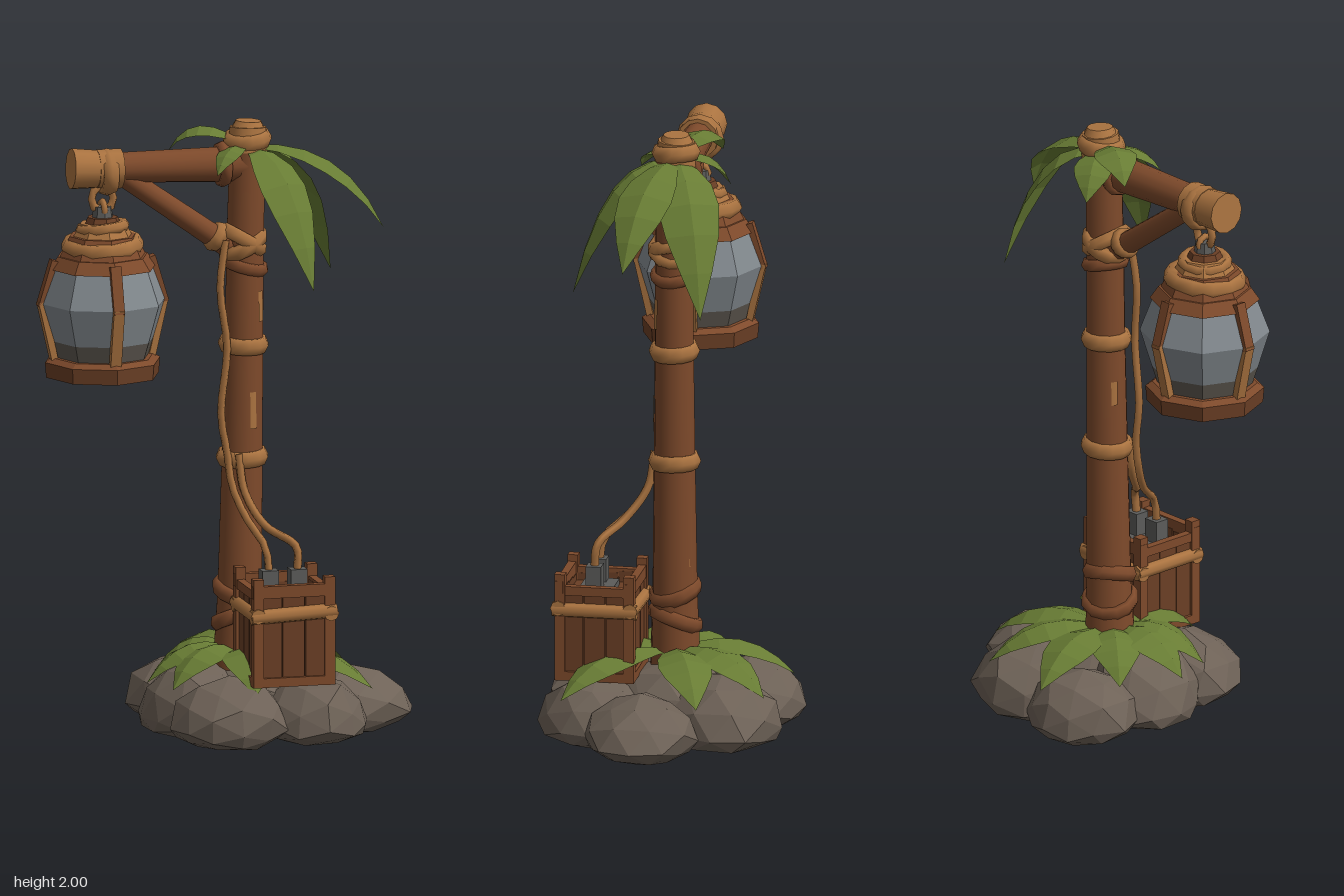
import * as THREE from 'three';

const mat = (name, color, flatShading = false) =>
  Object.assign(new THREE.MeshStandardMaterial({ color, flatShading }), { name });
const wood = mat('wood', 0x7e4a2b);
const darkWood = mat('dark wood', 0x6b3f25);
const rope = mat('rope', 0xaa7340);
const rock = mat('rock', 0x6e6257, true);
const glass = mat('glass', 0x82898e, true);
const grime = mat('grimy glass', 0x5e5850, true);
const metal = mat('metal', 0x5c5c5a);
const leafMat = mat('leaf', 0x687c34, true);
leafMat.side = THREE.DoubleSide;

const V = (x, y, z) => new THREE.Vector3(x, y, z);
const UP = V(0, 1, 0);

function add(parent, name, geo, material, x = 0, y = 0, z = 0) {
  const m = new THREE.Mesh(geo, material);
  m.name = name;
  m.position.set(x, y, z);
  parent.add(m);
  return m;
}

const box = (p, name, w, h, d, m, x, y, z) => add(p, name, new THREE.BoxGeometry(w, h, d), m, x, y, z);

// place a y-aligned geometry between two points
function span(p, name, a, b, makeGeo, m) {
  const d = b.clone().sub(a);
  const mesh = add(p, name, makeGeo(d.length()), m);
  mesh.position.copy(a).addScaledVector(d, 0.5);
  mesh.quaternion.setFromUnitVectors(UP, d.normalize());
  return mesh;
}
const limb = (p, name, a, b, ra, rb, m, sides = 12) =>
  span(p, name, a, b, (len) => new THREE.CylinderGeometry(rb, ra, len, sides), m);
const beam = (p, name, a, b, w, d, m) =>
  span(p, name, a, b, (len) => new THREE.BoxGeometry(w, len, d), m);

// rope ring around an upright axis, tilted as needed
function ring(p, name, r, tube, tall, m, x, y, z, tiltX = 0, tiltZ = 0, sides = 12) {
  const g = new THREE.TorusGeometry(r, tube, 6, sides).rotateX(Math.PI / 2).scale(1, tall, 1);
  const mesh = add(p, name, g, m, x, y, z);
  mesh.rotation.set(tiltX, 0, tiltZ);
  return mesh;
}

const cable = (p, name, pts, r, m) =>
  add(p, name, new THREE.TubeGeometry(new THREE.CatmullRomCurve3(pts.map((q) => V(...q))), 22, r, 5), m);

// jagged boulder, squashed underneath
function boulder(p, cx, cz, rx, top, rz, seed) {
  const g = new THREE.IcosahedronGeometry(1, 1);
  const a = g.attributes.position;
  for (let i = 0; i < a.count; i++) {
    const v = V(a.getX(i), a.getY(i), a.getZ(i));
    const k = Math.round(v.x * 50) * 12.99 + Math.round(v.y * 50) * 78.23 + Math.round(v.z * 50) * 37.72 + seed;
    const h = Math.sin(k) * 43758.5;
    v.multiplyScalar(0.93 + 0.16 * (h - Math.floor(h)));
    a.setXYZ(i, v.x * rx, Math.max(0, 0.06 + v.y * (v.y > 0 ? top - 0.06 : 0.075)), v.z * rz);
  }
  g.computeVertexNormals();
  add(p, 'boulder', g, rock, cx, 0, cz);
}

// arching leaf folded along its midrib
function leaf(p, name, base, tip, rise, half, bend) {
  const mid = base.clone().lerp(tip, bend).setY(Math.max(base.y, tip.y) + rise);
  const curve = new THREE.QuadraticBezierCurve3(base, mid, tip);
  const side = tip.clone().sub(base).setY(0).normalize().cross(UP);
  const n = 6, pos = [], idx = [];
  for (let i = 0; i <= n; i++) {
    const t = i / n, c = curve.getPoint(t);
    const normal = side.clone().cross(curve.getTangent(t));
    const w = half * (0.15 * (1 - t) + Math.sin(Math.PI * Math.pow(t, 1.05)));
    for (const s of [-1, 0, 1]) {
      const q = c.clone().addScaledVector(side, s * w).addScaledVector(normal, s ? -0.3 * w : 0);
      pos.push(q.x, q.y, q.z);
    }
    if (i < n) for (const j of [0, 1]) {
      const k = i * 3 + j;
      idx.push(k, k + 1, k + 3, k + 1, k + 4, k + 3);
    }
  }
  const g = new THREE.BufferGeometry();
  g.setAttribute('position', new THREE.Float32BufferAttribute(pos, 3));
  g.setIndex(idx);
  g.computeVertexNormals();
  add(p, name, g, leafMat);
}

function group(parent, name) {
  const g = new THREE.Group();
  g.name = name;
  parent.add(g);
  return g;
}

function buildLantern(root) {
  const L = group(root, 'lantern');
  L.position.set(-0.4, 0, -0.01);
  // faceted eight-sided sections
  const cyl = (name, rb, rt, y0, y1, m) => {
    const g = new THREE.CylinderGeometry(rt, rb, y1 - y0, 8).toNonIndexed();
    g.computeVertexNormals();
    add(L, name, g, m, 0, (y0 + y1) / 2, 0);
  };
  cyl('lanternBase', 0.188, 0.192, 1.19, 1.24, darkWood);
  cyl('lanternBaseRim', 0.192, 0.17, 1.24, 1.255, wood);
  cyl('grimyGlass', 0.153, 0.172, 1.25, 1.31, grime);
  cyl('lowerGlass', 0.172, 0.21, 1.31, 1.435, glass);
  cyl('upperGlass', 0.21, 0.165, 1.435, 1.555, glass);
  cyl('lanternCollar', 0.178, 0.15, 1.545, 1.585, wood);
  cyl('lanternRoof', 0.145, 0.11, 1.58, 1.65, wood);
  ring(L, 'roofRope', 0.106, 0.031, 1, rope, 0, 1.617, 0, 0.05, 0.05);
  cyl('lanternCrown', 0.105, 0.075, 1.635, 1.69, rope);
  ring(L, 'crownRope', 0.07, 0.02, 1, rope, 0, 1.675, 0, -0.08, 0.1);
  cyl('lanternCrownTop', 0.06, 0.05, 1.685, 1.71, darkWood);
  cyl('lanternCap', 0.036, 0.03, 1.7, 1.745, metal);
  // four frame ribs following the glass
  for (let i = 0; i < 4; i++) {
    const r = group(L, 'rib');
    r.rotation.y = i * Math.PI / 2;
    beam(r, 'ribLower', V(0.158, 1.23, 0), V(0.206, 1.44, 0), 0.022, 0.036, rope);
    beam(r, 'ribUpper', V(0.207, 1.425, 0), V(0.162, 1.575, 0), 0.022, 0.036, wood);
  }
  // hanging loops
  const loop = add(L, 'hangingLoop', new THREE.TorusGeometry(0.036, 0.013, 6, 10), rope, 0, 1.77, 0);
  loop.scale.y = 1.2;
  add(L, 'hangingLink', new THREE.TorusGeometry(0.026, 0.011, 6, 8).rotateY(Math.PI / 2), rope, 0, 1.735, 0);
}

function buildCrate(root) {
  const C = group(root, 'crate');
  C.position.set(0.147, 0, 0.215);
  box(C, 'crateCore', 0.22, 0.26, 0.21, darkWood, 0, 0.345, 0);
  box(C, 'batteryTop', 0.13, 0.02, 0.11, metal, -0.01, 0.485, 0.01);
  for (const s of [-1, 1]) {
    // plank walls, uneven along the top
    for (const i of [-1, 0, 1]) {
      box(C, 'wallPlank', 0.072, 0.28, 0.02, darkWood, i * 0.076, 0.365 + 0.006 * i, s * 0.11);
      box(C, 'sidePlank', 0.02, 0.28, 0.068, darkWood, s * 0.116, 0.365 - 0.006 * i, i * 0.072);
    }
    for (const t of [-1, 1]) box(C, 'cornerPost', 0.034, 0.355, 0.034, wood, s * 0.119, 0.382, t * 0.113);
    // rim, footing and rope band
    box(C, 'topRim', 0.275, 0.04, 0.026, wood, 0, 0.517, s * 0.115);
    box(C, 'topSideRim', 0.026, 0.03, 0.24, wood, s * 0.12, 0.505, 0);
    box(C, 'footing', 0.27, 0.03, 0.03, wood, 0, 0.22, s * 0.115);
    box(C, 'sideFooting', 0.03, 0.03, 0.25, wood, s * 0.121, 0.22, 0);
    limb(C, 'bandRope', V(-0.142, 0.435, s * 0.118), V(0.142, 0.447, s * 0.118), 0.025, 0.025, rope, 8);
    limb(C, 'sideBandRope', V(s * 0.122, 0.44, -0.138), V(s * 0.122, 0.44, 0.138), 0.025, 0.025, rope, 8);
  }
  for (const x of [-0.055, 0.04]) box(C, 'terminal', 0.055, 0.08, 0.05, metal, x, 0.53, 0.015);
}

export function createModel() {
  const root = new THREE.Group();
  root.name = 'palmLanternPost';

  // rocky base
  const rocks = group(root, 'rocks');
  [[-0.07, -0.235, 0.18, 0.22, 0.19], [-0.09, 0, 0.19, 0.235, 0.2], [-0.04, 0.23, 0.19, 0.215, 0.19],
    [0.2, -0.19, 0.22, 0.225, 0.2], [0.4, 0.04, 0.205, 0.2, 0.185], [0.25, 0.21, 0.18, 0.215, 0.19],
    [0.1, 0, 0.23, 0.25, 0.22]].forEach((b, i) => boulder(rocks, ...b, i * 1.7));

  // post in gently leaning lengths
  const post = group(root, 'post');
  const joints = [[0.05, 0.18, 0.084], [0.058, 0.45, 0.074], [0.066, 0.9, 0.068], [0.072, 1.27, 0.064],
    [0.076, 1.6, 0.062], [0.085, 1.95, 0.06]];
  for (let i = 0; i < joints.length - 1; i++) {
    const [ax, ay, ar] = joints[i], [bx, by, br] = joints[i + 1];
    limb(post, 'postLength', V(ax, ay, -0.01), V(bx, by, -0.01), ar, br, wood);
  }
  // pale scuffs in the bark: height, length, heading
  for (const [y, len, turn] of [[1.06, 0.12, 0.1], [1.4, 0.1, 0.5], [0.72, 0.1, 3.6], [0.62, 0.13, 2.5], [1.1, 0.08, 4.2]]) {
    const g = new THREE.CylinderGeometry(0.067, 0.0695, len, 2, 1, true, turn, 0.32);
    add(post, 'barkScuff', g, rope, 0.055 + y * 0.013, y, -0.01);
  }
  ring(post, 'middleBand', 0.064, 0.023, 1.3, rope, 0.066, 0.9, -0.01, 0.03, 0.04);
  ring(post, 'upperBand', 0.061, 0.023, 1.3, rope, 0.07, 1.27, -0.01, 0.04, -0.03);
  ring(post, 'footRope', 0.07, 0.021, 1.3, wood, 0.055, 0.46, -0.01, 0.3, -0.2);
  ring(post, 'footRope', 0.074, 0.021, 1.3, wood, 0.053, 0.37, -0.01, -0.35, 0.2);
  ring(post, 'braceRope', 0.067, 0.021, 1.2, rope, 0.068, 1.6, -0.01, 0.1, 0.5);
  ring(post, 'braceRope', 0.067, 0.021, 1.2, rope, 0.068, 1.61, -0.01, -0.1, -0.55);
  ring(post, 'braceRope', 0.062, 0.018, 1.2, wood, 0.075, 1.53, -0.01, 0.1, -0.25);

  // bound post head
  limb(post, 'postHead', V(0.085, 1.9, -0.015), V(0.088, 1.98, -0.02), 0.068, 0.06, rope);
  ring(post, 'headRope', 0.056, 0.025, 1.2, rope, 0.085, 1.94, -0.018, 0.08, 0.1);
  limb(post, 'headTip', V(0.088, 1.965, -0.02), V(0.09, 2, -0.02), 0.06, 0.042, rope);

  // arm, wrapped end and brace
  const arm = group(root, 'arm');
  limb(arm, 'armPole', V(0.08, 1.86, -0.012), V(-0.42, 1.87, -0.012), 0.06, 0.048, wood);
  limb(arm, 'armWrapInner', V(-0.34, 1.865, -0.012), V(-0.42, 1.867, -0.012), 0.066, 0.064, rope);
  limb(arm, 'armWrapOuter', V(-0.42, 1.867, -0.012), V(-0.505, 1.872, -0.012), 0.062, 0.067, rope);
  ring(arm, 'armKnot', 0.06, 0.018, 1.6, rope, -0.385, 1.856, -0.012, 0, Math.PI / 2);
  limb(arm, 'brace', V(0.03, 1.585, -0.01), V(-0.33, 1.84, -0.01), 0.038, 0.034, wood);
  ring(arm, 'braceEndRope', 0.036, 0.016, 1.5, rope, -0.02, 1.625, -0.01, 0, 0.95);
  ring(arm, 'armJointRope', 0.06, 0.016, 1.3, wood, 0.0, 1.862, -0.012, 0, Math.PI / 2);

  buildLantern(root);
  buildCrate(root);

  // cables from the crate up the post
  const cables = group(root, 'cables');
  cable(cables, 'longCable', [[0.092, 0.56, 0.23], [0.085, 0.64, 0.215], [0.045, 0.72, 0.13], [0.01, 0.82, 0.075],
    [0.0, 0.92, 0.055], [-0.02, 1.05, 0.05], [0.0, 1.27, 0.05], [-0.02, 1.46, 0.04], [0, 1.62, 0.03]], 0.013, rope);
  cable(cables, 'shortCable', [[0.187, 0.56, 0.23], [0.185, 0.64, 0.22], [0.1, 0.7, 0.15], [0.05, 0.8, 0.08],
    [0.035, 0.92, 0.06]], 0.014, rope);

  // crown leaves
  const crown = group(root, 'crownLeaves');
  [[0.515, 1.645, 0.08, 0.03, 0.085], [0.4, 1.47, -0.155, 0.03, 0.095], [0.225, 1.49, 0.295, 0.02, 0.085],
    [-0.02, 1.81, -0.18, 0.04, 0.06], [-0.15, 1.89, -0.13, 0.13, 0.065],
    [-0.05, 1.85, 0.12, 0.04, 0.04]].forEach(([x, y, z, rise, half]) =>
    leaf(crown, 'crownLeaf', V(0.085, 1.92, -0.015), V(x, y, z), rise, half, 0.7));

  // ground leaves
  const ground = group(root, 'groundLeaves');
  [[-0.26, 0.02], [-0.21, 0.16], [-0.18, -0.18], [-0.03, -0.39], [0.27, -0.34], [0.45, -0.15], [0.42, 0.3],
    [0.02, 0.34]].forEach(([x, z]) =>
    leaf(ground, 'groundLeaf', V(0.06, 0.26, 0), V(x, 0.175, z), 0.11, 0.082, 0.6));

  return root;
}
